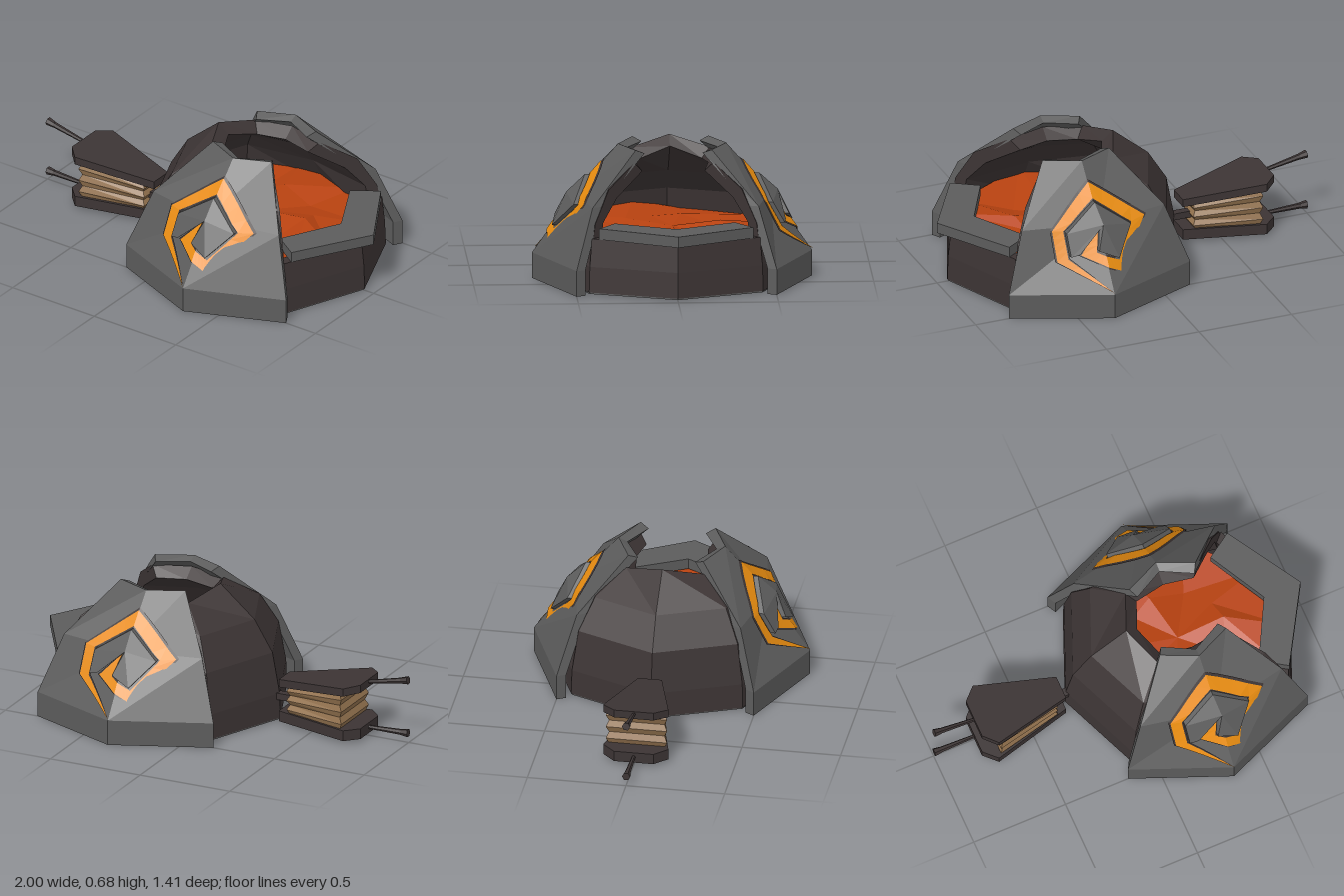
import * as THREE from 'three';

const mat = (name, color) => Object.assign(new THREE.MeshStandardMaterial({ color }), { name });
const V = (x, y, z) => new THREE.Vector3(x, y, z);
const CX = 0.33; // centre of the furnace

// Flat-shaded geometry from a list of triangle corners
function faces(tris) {
  const g = new THREE.BufferGeometry().setFromPoints(tris);
  g.computeVertexNormals();
  return g;
}

// Closed solid through equal-length loops; each loop runs along one side and back along the other
function loft(loops) {
  const t = [];
  const quad = (a, b, c, d) => t.push(a, b, c, a, c, d);
  const n = loops[0].length;
  for (let s = 0; s + 1 < loops.length; s++) {
    for (let i = 0; i < n; i++) {
      const j = (i + 1) % n;
      quad(loops[s][i], loops[s][j], loops[s + 1][j], loops[s + 1][i]);
    }
  }
  const A = loops[0], B = loops[loops.length - 1];
  for (let i = 0; i < n / 2 - 1; i++) {
    const j = n - 1 - i;
    quad(A[i], A[j], A[j - 1], A[i + 1]);
    quad(B[i], B[i + 1], B[j - 1], B[j]);
  }
  // turn all faces outward
  let vol = 0;
  for (let i = 0; i < t.length; i += 3) vol += t[i].dot(t[i + 1].clone().cross(t[i + 2]));
  if (vol < 0) for (let i = 0; i < t.length; i += 3) [t[i + 1], t[i + 2]] = [t[i + 2], t[i + 1]];
  return faces(t);
}

function flat(g) {
  const f = g.toNonIndexed();
  f.computeVertexNormals();
  return f;
}

export function createModel() {
  const stone = mat('grey stone', 0x5c5c5c);
  const iron = mat('dark iron', 0x3c3434);
  const gold = mat('gold inlay', 0xe88c10);
  const ember = mat('glowing embers', 0xb84210);
  const leather = mat('tan leather', 0x94734f);
  gold.side = ember.side = THREE.DoubleSide;

  const model = new THREE.Group();
  const add = (name, geo, m, parent = model) => {
    const mesh = new THREE.Mesh(geo, m);
    mesh.name = name;
    parent.add(mesh);
    return mesh;
  };

  // Base slab
  add('base', flat(new THREE.CylinderGeometry(0.61, 0.61, 0.012, 8)), stone).position.set(CX, 0.008, 0);

  // Eight-sided shell, low at the mouth (+x)
  const main = [[0.615, 0.01], [0.61, 0.14], [0.57, 0.35], [0.47, 0.51], [0.28, 0.67]];
  const corner = [...main.slice(0, 4), [0.28, 0.62]];
  const side = [[0.615, 0.01], [0.6, 0.14], [0.48, 0.35], [0.37, 0.49], [0.24, 0.63]];
  const low = [[0.615, 0.01], [0.61, 0.14], [0.595, 0.28]];
  const ring = (profile, k) => {
    const a = k * Math.PI / 4;
    const at = (r, y) => V(CX + r * Math.cos(a), y, r * Math.sin(a));
    const inner = profile.map(([r, y]) => at(r - 0.06, y > 0.5 ? y - 0.05 : y)).reverse();
    return [...profile.map(([r, y]) => at(r, y)), ...inner];
  };
  const shape = k => (k % 4 === 0 ? main : k % 2 === 0 ? side : corner);
  add('shell', loft([1, 2, 3, 4, 5, 6, 7].map(k => ring(shape(k), k))), iron);
  add('mouthWall', loft([-1, 0, 1].map(k => ring(low, k))), iron);

  // Shelf at the mouth
  const ledge = [[0.77, -0.385], [1, 0], [0.77, 0.385], [0.64, 0.3], [0.8, 0], [0.64, -0.3]];
  add('shelf', loft([0.28, 0.335].map(y => ledge.map(([x, z]) => V(x, y, z)))), stone);

  // Rough ember bed
  let seed = 7;
  const rand = () => (seed = (seed * 16807) % 2147483647) / 2147483647;
  const bed = [0.25, 0.52].map(r => Array.from({ length: 10 }, (_, i) => {
    const a = (i + rand() * 0.5) * Math.PI / 5;
    return V(CX + r * Math.cos(a), 0.22 + rand() * 0.08, r * Math.sin(a));
  }));
  const coals = [];
  for (let i = 0; i < 10; i++) {
    const j = (i + 1) % 10, [p, q] = bed;
    coals.push(V(CX, 0.26, 0), p[j], p[i], p[i], p[j], q[j], p[i], q[j], q[i]);
  }
  add('embers', faces(coals), ember);

  // Armour plates; rows: height, ridge z, edge x offset, edge z
  const rows = [[0, 0.7, 0.49, 0.5], [0.13, 0.7, 0.49, 0.5], [0.43, 0.49, 0.385, 0.415], [0.68, 0.27, 0.18, 0.19]];
  const surface = (x, y, lift) => {
    const i = y < 0.43 ? 1 : 2;
    const [y0, r0, w0, e0] = rows[i], [y1, r1, w1, e1] = rows[i + 1];
    const t = (y - y0) / (y1 - y0), l = THREE.MathUtils.lerp;
    const zr = l(r0, r1, t);
    return V(x, y, l(zr, l(e0, e1, t), Math.abs(x) / l(w0, w1, t)) + lift);
  };
  // spiral inlay as pairs of outer and inner points, x measured from the ridge
  const spiral = [
    [0, 0.14, 0, 0.14], [-0.24, 0.28, -0.185, 0.29], [-0.24, 0.42, -0.185, 0.415], [0, 0.6, 0, 0.535],
    [0.26, 0.417, 0.18, 0.405], [0.085, 0.21, 0.07, 0.265], [0, 0.249, 0, 0.296],
    [-0.12, 0.305, -0.043, 0.315], [-0.005, 0.43, -0.005, 0.43],
  ];
  const strip = (grow, lift) => {
    const path = [];
    spiral.forEach((p, i) => {
      const q = spiral[i + 1];
      for (let s = 0; s < (q ? 4 : 1); s++) {
        const [a, b, c, d] = p.map((v, k) => (q ? v + (q[k] - v) * s / 4 : v));
        const dx = (a - c) * grow, dy = (b - d) * grow;
        path.push([surface(a + dx, b + dy, lift), surface(c - dx, d - dy, lift)]);
      }
    });
    const t = [];
    for (let i = 0; i + 1 < path.length; i++) {
      const [a, b] = path[i], [c, d] = path[i + 1];
      t.push(a, b, d, a, d, c);
    }
    return faces(t);
  };
  const bossRim = [[0, 0.525], [-0.175, 0.41], [-0.175, 0.305], [-0.13, 0.315], [-0.005, 0.425],
    [-0.035, 0.325], [0.065, 0.28], [0.17, 0.405]];
  const boss = [];
  bossRim.forEach(([x, y], i) => {
    const [u, v] = bossRim[(i + 1) % bossRim.length];
    const a = surface(x, y, 0.03), b = surface(u, v, 0.03);
    const c = surface(x, y, -0.01), d = surface(u, v, -0.01);
    boss.push(surface(0.01, 0.44, 0.05), a, b, a, c, d, a, d, b);
  });
  const groove = iron.clone();
  groove.name = 'dark groove';
  groove.side = THREE.DoubleSide;
  for (const turn of [0, Math.PI]) {
    const plate = new THREE.Group();
    plate.name = turn ? 'rearPlate' : 'frontPlate';
    plate.position.x = CX;
    plate.rotation.y = turn;
    model.add(plate);
    const loops = [-1, 0, 1].map(s => {
      const outer = rows.map(([y, r, w, e]) => V(s * w, y, s ? e : r));
      const inner = rows.map(([y, r, w, e]) => V(s * (w - 0.025), y > 0.5 ? y - 0.02 : y, (s ? e : r) - 0.045));
      return [...outer, ...inner.reverse()];
    });
    add('plateShell', loft(loops), stone, plate);
    add('inlayGroove', strip(0.16, 0.006), groove, plate);
    add('spiralInlay', strip(0, 0.011), gold, plate);
    add('boss', faces(boss), stone, plate);
  }

  // Bellows boards
  const outline = [[-0.305, 0.06], [-0.715, 0.165], [-0.78, 0.1], [-0.78, -0.1], [-0.715, -0.165], [-0.305, -0.06]];
  const tilt = x => 0.137 * (-0.305 - x); // rise of the upper board
  const board = (name, y0, y1, k) => add(name,
    loft([y0, y1].map(y => outline.map(([x, z]) => V(x, y + k * tilt(x), z)))), iron);
  board('lowerBoard', 0.015, 0.07, 0);
  board('upperBoard', 0.197, 0.238, 1);

  // Pleated leather
  const pleats = Array.from({ length: 7 }, (_, i) => {
    const t = i / 6, d = i % 2 ? 0 : 0.014;
    return [[-0.355 - d, 0.075 - d], [-0.7 + d, 0.155 - d], [-0.7 + d, -0.155 + d], [-0.355 - d, -0.075 + d]]
      .map(([x, z]) => V(x, 0.065 + t * (0.14 + tilt(x)), z));
  });
  add('leatherPleats', loft(pleats), leather);

  // Nozzle and handles
  add('nozzle', new THREE.BoxGeometry(0.16, 0.035, 0.04), iron).position.set(-0.31, 0.128, 0);
  const rod = (name, a, b, r0, r1) => {
    const mesh = add(name, flat(new THREE.CylinderGeometry(r1, r0, a.distanceTo(b), 6)), iron);
    mesh.position.copy(a).lerp(b, 0.5);
    mesh.quaternion.setFromUnitVectors(V(0, 1, 0), b.clone().sub(a).normalize());
  };
  for (const [name, y0, y1] of [['upper', 0.284, 0.333], ['lower', 0.045, 0.05]]) {
    const a = V(-0.76, y0, 0), b = V(-0.998, y1, 0);
    const mid = a.clone().lerp(b, 0.84);
    rod(name + 'Handle', a, mid, 0.009, 0.015);
    rod(name + 'HandleKnob', mid, b, 0.016, 0.021);
  }
  return model;
}
